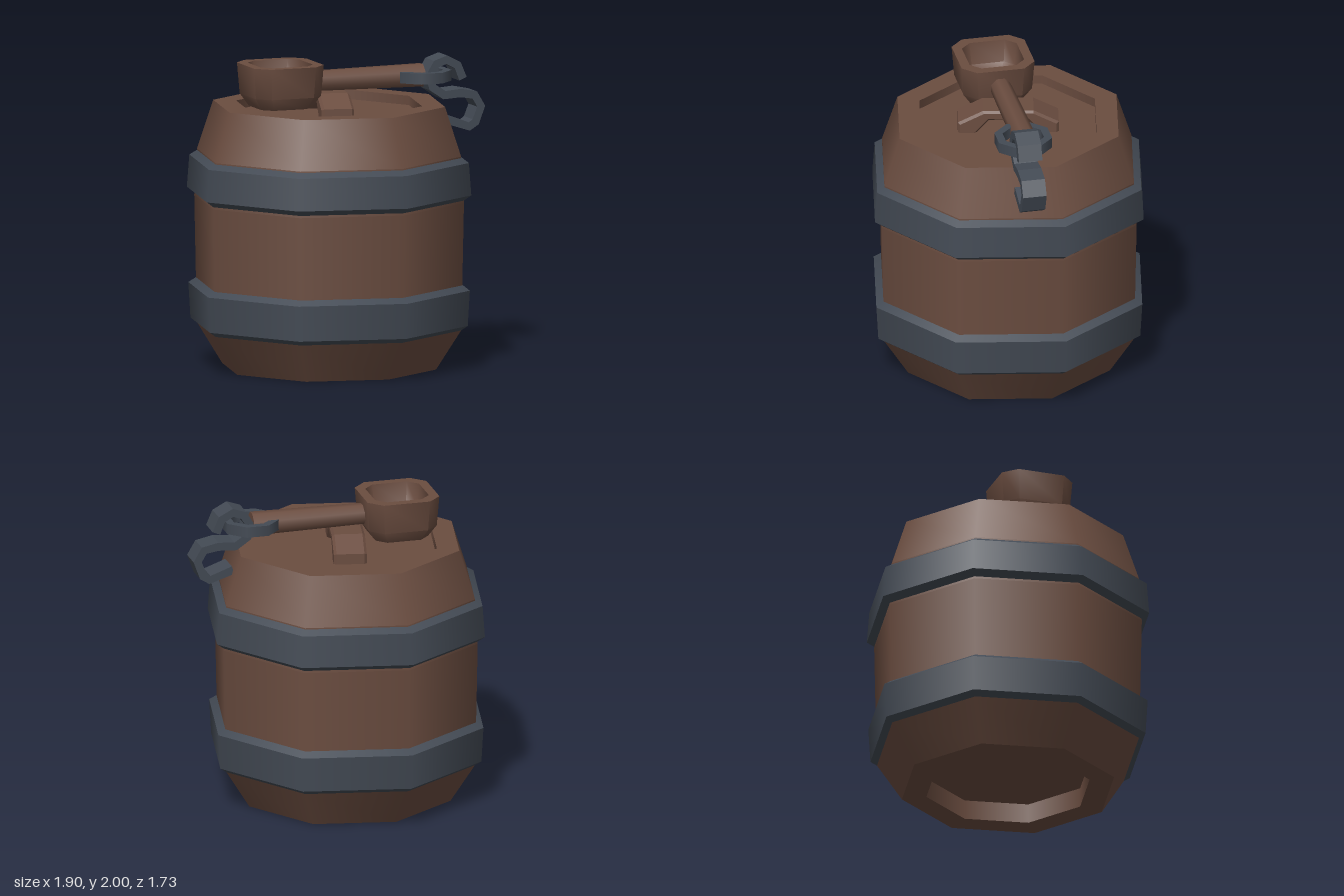
import * as THREE from 'three';
import { mergeGeometries, toCreasedNormals } from 'three/addons/utils/BufferGeometryUtils.js';

const COS8 = Math.cos(Math.PI / 8);
const TURN = 0.19; // ladle direction on the lid
const CX = -0.085; // barrel axis

// Octagonal turned part, smooth around and sharp between profile steps.
// Profile points are [flat-to-flat half width, height].
function octagon(profile) {
  const rings = [];
  for (let i = 0; i + 1 < profile.length; i++) {
    const pair = [profile[i], profile[i + 1]].map(([r, y]) => new THREE.Vector2(r / COS8, y));
    rings.push(new THREE.LatheGeometry(pair, 8, Math.PI / 8));
  }
  return mergeGeometries(rings);
}

// Outline of an open strip of constant thickness along a centre line
function stripShape(line, thickness) {
  const pts = line.map(([x, y]) => new THREE.Vector2(x, y));
  const left = [], right = [];
  pts.forEach((p, i) => {
    const a = p.clone().sub(pts[Math.max(i - 1, 0)]).normalize();
    const b = pts[Math.min(i + 1, pts.length - 1)].clone().sub(p).normalize();
    const dir = a.add(b).normalize();
    const n = new THREE.Vector2(-dir.y, dir.x).multiplyScalar(thickness / 2);
    left.push(p.clone().add(n));
    right.push(p.clone().sub(n));
  });
  return new THREE.Shape([...left, ...right.reverse()]);
}

export function createModel() {
  const wood = new THREE.MeshStandardMaterial({ color: 0x6b4d40 });
  wood.name = 'brown wood';
  const iron = new THREE.MeshStandardMaterial({ color: 0x434a54 });
  iron.name = 'dark iron';

  const model = new THREE.Group();
  model.name = 'barrelWithLadle';
  const add = (name, geometry, material, parent = model) => {
    const mesh = new THREE.Mesh(geometry, material);
    mesh.name = name;
    parent.add(mesh);
    return mesh;
  };

  // Barrel with recessed bottom and lid
  add('barrelBody', octagon([
    [0, 0.13], [0.5, 0.13], [0.5, 0], [0.65, 0], [0.803, 0.26], [0.81, 0.56],
    [0.82, 1.09], [0.803, 1.39], [0.705, 1.71], [0.565, 1.71], [0.565, 1.65], [0, 1.65],
  ]), wood).position.x = CX;

  // Iron hoops
  add('lowerHoop', octagon([
    [0.79, 0.25], [0.843, 0.29], [0.856, 0.52], [0.8, 0.56],
  ]), iron).position.x = CX;
  add('upperHoop', octagon([
    [0.8, 1.09], [0.865, 1.14], [0.85, 1.35], [0.79, 1.39],
  ]), iron).position.x = CX;

  // Arched grip across the lid
  const arch = new THREE.Shape([
    [-0.31, 1.64], [-0.31, 1.71], [-0.16, 1.785], [0.16, 1.785], [0.31, 1.71],
    [0.31, 1.64], [0.23, 1.64], [0.13, 1.75], [-0.13, 1.75], [-0.23, 1.64],
  ].map(([z, y]) => new THREE.Vector2(z, y)));
  const gripGeometry = new THREE.ExtrudeGeometry(arch, {
    depth: 0.18, bevelEnabled: true, bevelThickness: 0.017, bevelSize: 0.015, bevelSegments: 1,
  });
  gripGeometry.translate(0, 0, -0.09).rotateY(Math.PI / 2);
  add('lidGrip', gripGeometry, wood).position.x = CX;

  // Ladle: bowl with a chamfered square outline, and a round handle
  const ladle = new THREE.Group();
  ladle.name = 'ladle';
  ladle.position.set(-0.42, 0, 0.088);
  ladle.rotation.y = TURN;
  model.add(ladle);

  const bowlGeometry = octagon([
    [0, 1.712], [0.175, 1.712], [0.225, 1.79], [0.24, 1.99],
    [0.18, 1.99], [0.165, 1.84], [0.11, 1.78], [0, 1.77],
  ]);
  const pos = bowlGeometry.attributes.position;
  for (let i = 0; i < pos.count; i++) {
    const x = pos.getX(i), z = pos.getZ(i);
    if (Math.abs(x) > Math.abs(z)) pos.setZ(i, z * 1.55);
    else pos.setX(i, x * 1.55);
  }
  add('ladleBowl', toCreasedNormals(bowlGeometry, 0.9), wood, ladle);

  const handleGeometry = new THREE.CylinderGeometry(0.078, 0.068, 0.76, 8);
  handleGeometry.rotateY(Math.PI / 8).rotateZ(-Math.PI / 2);
  add('ladleHandle', handleGeometry, wood, ladle).position.set(0.595, 1.866, 0);

  // Flat chain link around the handle end
  const link = add('chainLink', octagon([
    [0.125, 0.035], [0.125, -0.035], [0.175, -0.035], [0.175, 0.035], [0.125, 0.035],
  ]), iron);
  link.position.set(0.54, 1.865, -0.083);
  link.rotation.y = TURN;

  // S-shaped hook hanging from the link
  const hookLine = [
    [0.79, 1.84], [0.754, 1.93], [0.68, 1.97], [0.61, 1.945], [0.563, 1.868],
    [0.585, 1.794], [0.664, 1.74], [0.775, 1.748], [0.87, 1.73], [0.913, 1.655],
    [0.876, 1.556], [0.833, 1.527], [0.68, 1.58],
  ].map(([x, y]) => [(x - 0.53) / Math.cos(TURN), y]);
  const hookGeometry = new THREE.ExtrudeGeometry(stripShape(hookLine, 0.055), {
    depth: 0.155, bevelEnabled: false,
  });
  hookGeometry.translate(0, 0, -0.0775);
  const hook = add('hook', hookGeometry, iron);
  hook.position.set(0.525, 0, -0.07);
  hook.rotation.y = TURN;

  return model;
}
